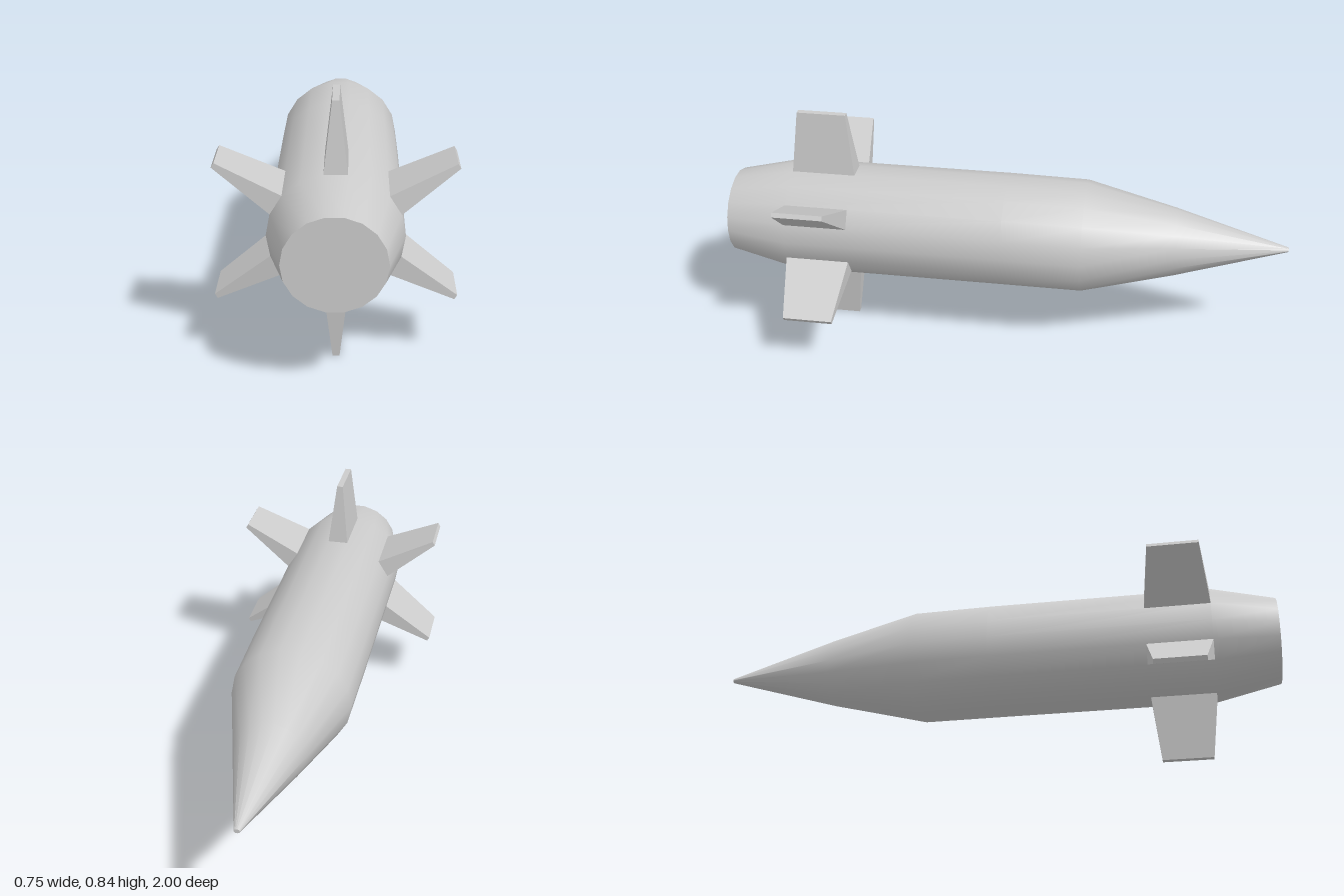
import * as THREE from 'three';
import { toCreasedNormals } from 'three/addons/utils/BufferGeometryUtils.js';

const CENTER_Y = 0.4195;
const RX = 0.213, RY = 0.199;
const rad = THREE.MathUtils.degToRad;

// Rings from nose tip to tail: [z, half width, height/width ratio, centre y]
const rings = [
  [-1, 0, 1, 0.421],
  [-1, 0.01, 0.75, 0.421],
  [-0.6, 0.121, 1.01, 0.4185],
  [-0.28, 0.211, 0.935, 0.417],
  [0, RX, RY / RX, CENTER_Y],
  [0.775, RX, RY / RX, CENTER_Y],
  [1, 0.159, 0.94, CENTER_Y],
  [1, 0, 1, CENTER_Y],
];

// 18-sided, slightly flattened hull along z
function hullGeometry() {
  const profile = rings.map(([z, r]) => new THREE.Vector2(r, z));
  const geo = new THREE.LatheGeometry(profile, 18, Math.PI / 2).rotateX(Math.PI / 2);
  const pos = geo.attributes.position;
  for (let i = 0; i < pos.count; i++) {
    const [, , ratio, cy] = rings[i % rings.length];
    pos.setY(i, pos.getY(i) * ratio + cy);
  }
  return toCreasedNormals(geo, rad(40));
}

// Tapered fin: a box whose root sits on one hull facet and narrows to the tip
function finGeometry(angle, tipRadius, tipHalfAngle) {
  const geo = new THREE.BoxGeometry(2, 2, 2);
  const pos = geo.attributes.position;
  for (let i = 0; i < pos.count; i++) {
    const tip = pos.getY(i) > 0;
    const a = rad(angle - Math.sign(pos.getX(i)) * (tip ? tipHalfAngle : 10));
    const x = Math.cos(a) * (tip ? tipRadius : RX);
    const y = Math.sin(a) * (tip ? tipRadius : RY);
    const z = 0.662 + Math.sign(pos.getZ(i)) * (tip ? 0.087 : 0.113);
    pos.setXYZ(i, x, CENTER_Y + y, z);
  }
  geo.computeVertexNormals();
  return geo;
}

export function createModel() {
  const group = new THREE.Group();
  group.name = 'rocket';
  const material = new THREE.MeshStandardMaterial({ color: 0xcccccc });

  const add = (name, geometry) => {
    const mesh = new THREE.Mesh(geometry, material);
    mesh.name = name;
    group.add(mesh);
  };

  add('hull', hullGeometry());

  // Six fins around the tail
  const names = ['upperLeftFin', 'topFin', 'upperRightFin', 'lowerRightFin', 'bottomFin', 'lowerLeftFin'];
  names.forEach((name, i) => {
    const vertical = i % 3 === 1;
    add(name, finGeometry(30 + i * 60, vertical ? 0.4197 : 0.43, vertical ? 1.5 : 1.1));
  });

  return group;
}
